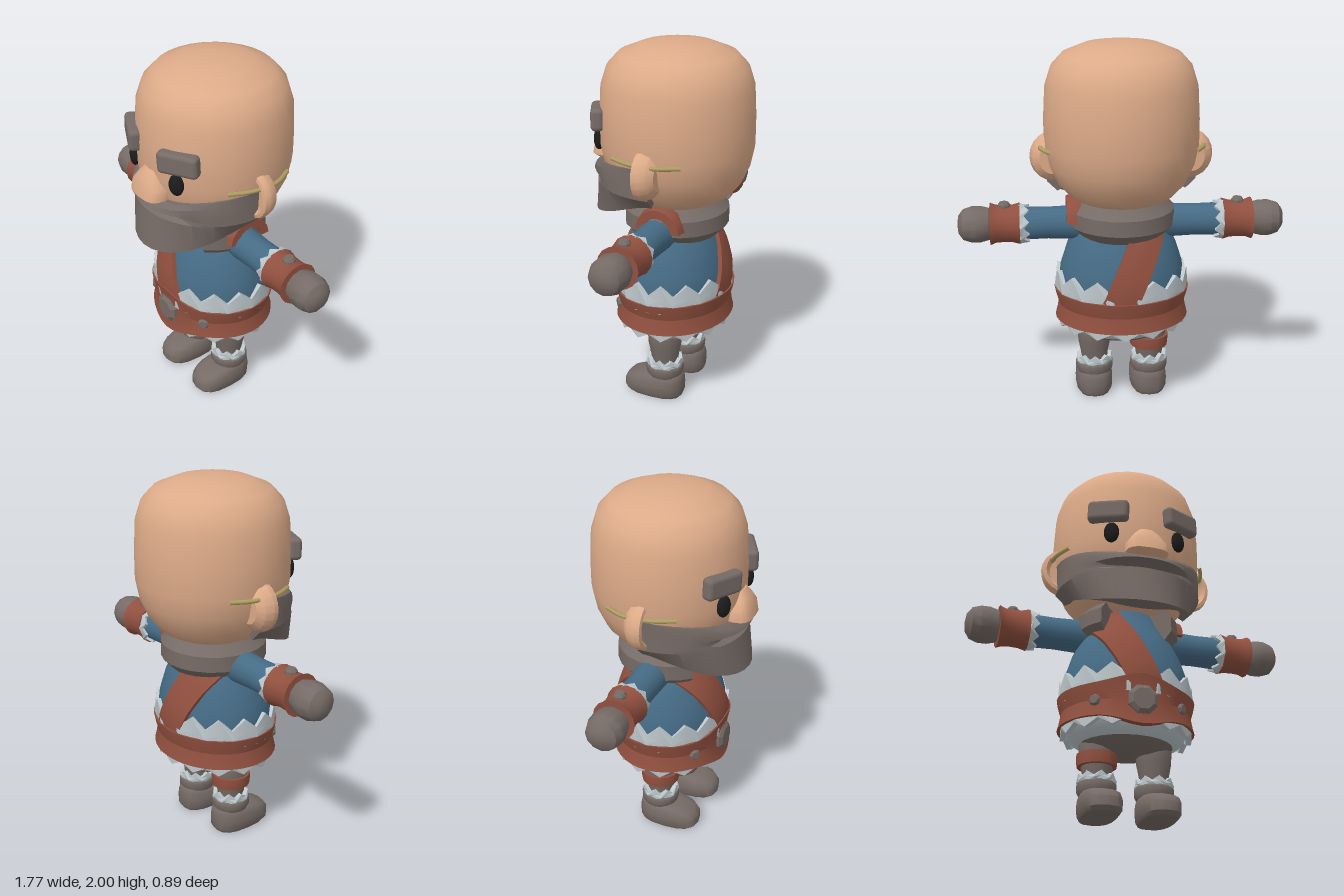
import * as THREE from 'three';
import { toCreasedNormals } from 'three/addons/utils/BufferGeometryUtils.js';
import { RoundedBoxGeometry } from 'three/addons/geometries/RoundedBoxGeometry.js';

const { sin, cos, sqrt, PI, abs, sign, exp } = Math;

const material = (name, color) => {
  const m = new THREE.MeshStandardMaterial({ color });
  m.name = name;
  return m;
};

// Joins rings of [x, y, z] points into a skin, optionally closing both ends
function loft(rings, caps = true, crease = 0.6) {
  const n = rings[0].length, pos = [];
  const tri = (a, b, c) => pos.push(...a, ...b, ...c);
  for (let v = 0; v + 1 < rings.length; v++) {
    for (let u = 0; u < n; u++) {
      const w = (u + 1) % n;
      tri(rings[v][u], rings[v][w], rings[v + 1][w]);
      tri(rings[v][u], rings[v + 1][w], rings[v + 1][u]);
    }
  }
  if (caps) {
    const first = rings[0], last = rings[rings.length - 1];
    const mid = (r) => [0, 1, 2].map((k) => r.reduce((s, p) => s + p[k], 0) / n);
    const a = mid(first), b = mid(last);
    for (let u = 0; u < n; u++) {
      const w = (u + 1) % n;
      tri(a, first[w], first[u]);
      tri(b, last[u], last[w]);
    }
  }
  const g = new THREE.BufferGeometry();
  g.setAttribute('position', new THREE.Float32BufferAttribute(pos, 3));
  g.computeVertexNormals();
  return toCreasedNormals(g, crease);
}

// Boxy oval ring at height y
function oval(y, hx, zFront, zBack, n = 16, power = 0.75) {
  const c = (zFront + zBack) / 2, hz = (zFront - zBack) / 2;
  const soft = (v) => sign(v) * abs(v) ** power;
  return Array.from({ length: n }, (_, i) => {
    const t = (i / n) * PI * 2;
    return [hx * soft(sin(t)), y, c + hz * soft(cos(t))];
  });
}

const lathe = (pts, n = 20, crease = 0.7) =>
  toCreasedNormals(new THREE.LatheGeometry(pts.map((p) => new THREE.Vector2(...p)), n), crease);

// Sweeps a cross-section (outer side first, running down) around the y axis
function sweep(section, from, to, steps, zScale = 1, caps = false, crease = 0.6) {
  const rings = [];
  for (let i = 0; i <= steps; i++) {
    const t = from + ((to - from) * i) / steps;
    rings.push(section(t, i).map(([r, y]) => [r * sin(t), y, r * cos(t) * zScale]));
  }
  return loft(rings, caps, crease);
}

// Fur band with a jagged edge on the tip side
function zigzag(points, r, base, tip, valley, thick, zScale = 1) {
  return sweep((t, i) => {
    const edge = i % 2 ? valley : tip;
    const hi = Math.max(base, edge), lo = Math.min(base, edge);
    return [[r, hi], [r + (i % 2 ? 0.008 : 0), (hi + lo) / 2], [r, lo], [r - thick, lo], [r - thick, hi]];
  }, 0, PI * 2, points * 2, zScale, false, 0.2);
}

const torsoProfile = [[0.31, 0.46], [0.335, 0.58], [0.345, 0.7], [0.335, 0.78], [0.3, 0.89],
  [0.255, 0.98], [0.2, 1.06], [0.15, 1.16]];
function torsoRadius(y) {
  const i = Math.max(0, torsoProfile.findIndex((p) => p[1] >= y) - 1);
  const [r0, y0] = torsoProfile[i], [r1, y1] = torsoProfile[i + 1];
  return r0 + ((r1 - r0) * (y - y0)) / (y1 - y0);
}

export function createModel() {
  const skin = material('skin', 0xdcaa88), grey = material('greyHairAndLeather', 0x766b66);
  const blue = material('blueCloth', 0x466c86), brown = material('brownLeather', 0x91503f);
  const fur = material('paleFur', 0xbcc6ca), black = material('eyeBlack', 0x1c1c1c);
  const gold = material('gold', 0xb0a064);

  const model = new THREE.Group();
  model.name = 'beardedWarrior';
  const add = (name, geo, mat, pos = [0, 0, 0], parent = model) => {
    const m = new THREE.Mesh(geo, mat);
    m.name = name;
    m.position.set(...pos);
    parent.add(m);
    return m;
  };
  const Z = -0.022, FLAT = 0.86;

  // Head and nose
  add('head', lathe([[0, 1.13], [0.2, 1.14], [0.28, 1.18], [0.345, 1.25], [0.39, 1.35], [0.412, 1.46],
    [0.412, 1.6], [0.402, 1.77], [0.37, 1.87], [0.31, 1.935], [0.2, 1.98], [0.1, 1.995], [0, 2]], 28, 1.2),
  skin, [0, 0, -0.035]);
  add('nose', loft([[1.33, 0.09, 0.4], [1.355, 0.118, 0.445], [1.41, 0.116, 0.435], [1.46, 0.08, 0.415],
    [1.5, 0.05, 0.385]].map(([y, hx, z]) => oval(y, hx, z, 0.28, 16, 0.7)), true, 0.7), skin);

  // Beard with moustache and mouth groove
  add('beard', sweep((t) => {
    const c = Math.max(0, cos(t)), front = exp(-((t / 0.55) ** 4));
    const top = 1.42 - 0.075 * c ** 2, low = 1.2 - 0.15 * c ** 1.4;
    const end = 0.345 + 0.105 * c ** 3;
    const mouth = 1.285, side = 0.42 - 0.02 * (1 - c);
    return [[0.405, top], [side + 0.015 * front, top - 0.025], [side + 0.025 * front, mouth + 0.02],
      [side - 0.045 * front, mouth], [side - 0.045 * front, mouth - 0.012], [side, mouth - 0.03],
      [end, low], [0.26, low + 0.05], [0.25, 1.27], [0.3, top]];
  }, -1.63, 1.63, 24, 1, true, 0.45), grey, [0, 0, -0.025]);

  // Torso, pelvis and collar
  add('torso', lathe(torsoProfile, 28, 1), blue, [0, 0, Z]).scale.z = FLAT;
  add('pelvis', lathe([[0, 0.35], [0.14, 0.355], [0.23, 0.385], [0.29, 0.43], [0.31, 0.48]], 24), grey,
    [0, 0, Z]).scale.z = FLAT;
  const gap = 0.75;
  add('furCollar', sweep(() => Array.from({ length: 8 }, (_, k) => {
    const a = (-k / 8) * PI * 2 + 0.4;
    return [0.19 + 0.105 * cos(a), 1.06 + 0.11 * sin(a)];
  }), gap, PI * 2 - gap, 18, 1, true, 0.7), grey, [0, 0, -0.03]);

  // Diagonal strap, front and back
  const strap = [];
  for (let i = 0; i <= 10; i++) {
    const y = 0.62 + i * 0.048, x = 0.035 - (y - 0.62) * 0.44;
    const across = [-0.085, -0.03, 0.03, 0.085].map((d) => {
      const px = x + d, py = y + d * 0.35, r = torsoRadius(py);
      return [px, py, FLAT * sqrt(Math.max(0.001, r * r - px * px))];
    });
    strap.push([...across.map(([a, b, c]) => [a, b, c + 0.022]),
      ...across.reverse().map(([a, b, c]) => [a, b, c - 0.03])]);
  }
  for (const s of [1, -1]) {
    add(s > 0 ? 'frontStrap' : 'backStrap', loft(strap, true, 0.5), brown, [0, 0, Z]).scale.z = s;
  }
  // Leather band over the left shoulder
  const pad = sweep(() => [[0.125, 0.3], [0.135, 0.25], [0.125, 0.19], [0.08, 0.19], [0.08, 0.3]],
    PI / 2 + 0.05, PI * 2.5 - 0.05 - PI, 8, 1, true, 0.4);
  pad.rotateZ(-PI / 2);
  const padMesh = add('shoulderBand', pad, brown, [0, 1.045, -0.05]);
  padMesh.rotation.x = PI / 2;

  // Belt, fur trims, buckle and rivets
  add('upperTrim', zigzag(14, 0.362, 0.6, 0.76, 0.7, 0.04, FLAT), fur, [0, 0, Z]);
  add('lowerTrim', zigzag(14, 0.35, 0.52, 0.425, 0.465, 0.03, FLAT), fur, [0, 0, Z]);
  add('underSkirt', lathe([[0.25, 0.4], [0.3, 0.425], [0.335, 0.48]], 24), fur, [0, 0, Z]).scale.z = FLAT;
  add('belt', sweep((t) => {
    const a = t > PI ? t - PI * 2 : t, bump = exp(-((a / 0.42) ** 2)) * 0.05;
    const up = 0.645 + bump, down = 0.475 - bump;
    return [[0.372, up], [0.366, up - 0.03], [0.35, 0.56], [0.36, down + 0.03], [0.368, down],
      [0.32, down], [0.32, up]];
  }, 0, PI * 2, 40, 0.87, false, 0.35), brown, [0, 0, Z]);
  const stud = (name, r, h, pos, parent = model, n = 8) =>
    add(name, lathe([[0, -h], [r, -h], [r, h * 0.3], [r * 0.72, h], [0, h]], n, 0.3), grey, pos, parent);
  const buckle = stud('beltBuckle', 0.083, 0.022, [0, 0.557, 0.285]);
  buckle.rotation.set(PI / 2, PI / 8, 0);

  for (const s of [1, -1]) {
    const half = new THREE.Group();
    half.name = s > 0 ? 'leftSide' : 'rightSide';
    half.scale.x = s;
    model.add(half);

    // Eye, brow, ear and ear pin
    const eye = add('eye', new THREE.SphereGeometry(1, 14, 10), black, [0.187, 1.477, 0.337], half);
    eye.scale.set(0.042, 0.06, 0.028);
    eye.rotation.y = 0.45;
    const brow = add('eyebrow', new RoundedBoxGeometry(0.225, 0.12, 0.07, 2, 0.025), grey,
      [0.203, 1.605, 0.333], half);
    brow.rotation.set(0, 0.47, 0.05);
    const ear = add('ear', lathe([[0, -0.06], [0.08, -0.06], [0.12, -0.03], [0.136, 0.015], [0.13, 0.045],
      [0.11, 0.05], [0.085, 0.025], [0, 0.02]], 20, 0.6), skin, [0.365, 1.388, -0.04], half);
    ear.rotation.x = PI / 2;
    ear.scale.x = 0.92;
    const pinPath = new THREE.CatmullRomCurve3([[0.375, 0.16], [0.42, 0.06], [0.435, -0.03], [0.425, -0.12],
      [0.375, -0.22]].map(([x, z]) => new THREE.Vector3(x, 1.45, z)));
    add('earPin', new THREE.TubeGeometry(pinPath, 12, 0.012, 6), gold, [0, 0, 0], half);

    // Belt rivet
    const rivet = stud('beltRivet', 0.032, 0.016, [0.232, 0.557, 0.208], half);
    rivet.rotation.set(PI / 2, 0, -0.7, 'YXZ');
    rivet.rotation.set(PI / 2, 0.7, 0, 'YXZ');

    // Arm: sleeve, cuff, bracer and fist, built along y then laid sideways
    const arm = new THREE.Group();
    arm.name = 'arm';
    arm.position.set(0, 1.018, -0.035);
    arm.rotation.z = -PI / 2;
    half.add(arm);
    add('sleeve', lathe([[0.1, 0.12], [0.092, 0.25], [0.086, 0.4], [0.09, 0.55]], 16), blue, [0, 0, 0], arm);
    add('sleeveTrim', zigzag(9, 0.104, 0.57, 0.5, 0.53, 0.03), fur, [0, 0, 0], arm);
    add('bracer', lathe([[0.07, 0.55], [0.113, 0.55], [0.102, 0.59], [0.1, 0.64], [0.103, 0.68],
      [0.115, 0.71], [0.07, 0.71]], 16, 0.5), brown, [0, 0, 0], arm);
    add('fist', lathe([[0.05, 0.69], [0.088, 0.715], [0.1, 0.76], [0.1, 0.81], [0.085, 0.855],
      [0.05, 0.88], [0, 0.887]], 12, 0.6), grey, [0, 0, 0], arm);
    stud('bracerRivet', 0.034, 0.02, [0.633, 1.12, -0.035], half);

    // Leg and boot
    const leg = new THREE.Group();
    leg.name = 'leg';
    leg.position.set(0.155, 0, -0.03);
    half.add(leg);
    add('trouserLeg', lathe([[0.07, 0.18], [0.078, 0.25], [0.092, 0.32], [0.097, 0.4], [0.08, 0.46]], 14),
      grey, [0, 0, 0], leg);
    add('bootTrim', zigzag(8, 0.098, 0.185, 0.24, 0.215, 0.03), fur, [0, 0, 0], leg);
    add('bootCuff', lathe([[0.07, 0.12], [0.095, 0.13], [0.105, 0.15], [0.105, 0.185], [0.09, 0.205],
      [0.06, 0.205]], 16), grey, [0, 0, 0], leg);
    add('bootFoot', loft([[0, 0.09, 0.215, -0.1], [0.02, 0.103, 0.235, -0.11], [0.07, 0.106, 0.235, -0.112],
      [0.105, 0.1, 0.21, -0.11], [0.128, 0.09, 0.15, -0.105], [0.14, 0.075, 0.09, -0.095]]
      .map((p) => oval(...p)), true, 0.7), grey, [0, 0, 0], leg);
    if (s < 0) {
      add('legBand', lathe([[0.08, 0.28], [0.105, 0.28], [0.108, 0.31], [0.108, 0.345], [0.08, 0.345]], 16, 0.4),
        brown, [0, 0, 0], leg);
    }
  }
  return model;
}
